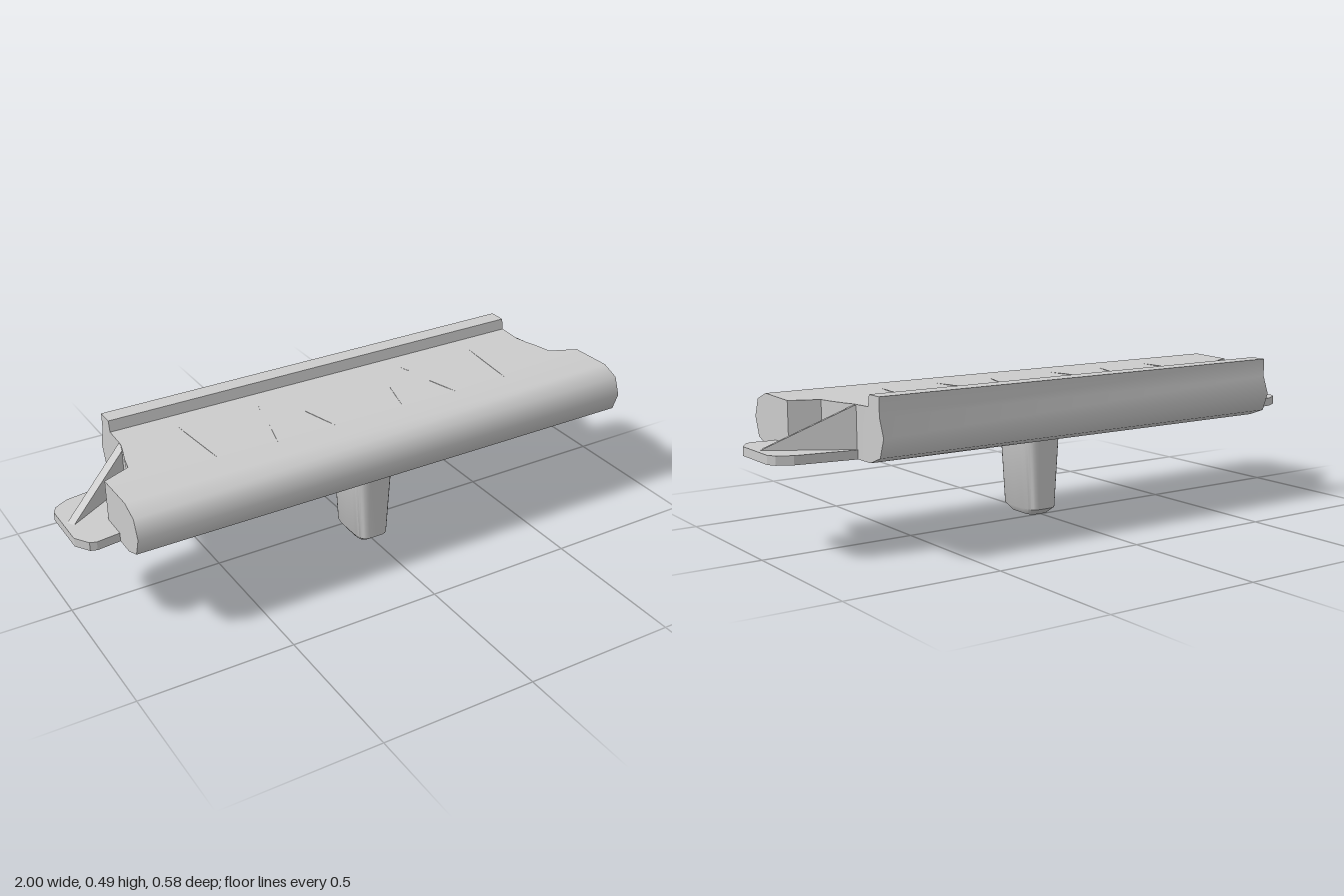
import * as THREE from 'three';
import { toCreasedNormals } from 'three/addons/utils/BufferGeometryUtils.js';

const mat = new THREE.MeshStandardMaterial({ color: 0xcccccc });

// Stations of the bar from front to back: [z, bottom y, top y, half width]
const STATIONS = [
  [0.29, 0.375, 0.375, 0.875], [0.268, 0.315, 0.433, 0.875], [0.21, 0.293, 0.456, 0.875],
  [0.06, 0.293, 0.452, 0.875], [0.02, 0.293, 0.452, 0.785], [-0.03, 0.293, 0.452, 0.775],
  [-0.08, 0.293, 0.452, 0.76], [-0.12, 0.293, 0.453, 0.75], [-0.203, 0.293, 0.456, 0.75],
  [-0.21, 0.293, 0.492, 0.75], [-0.268, 0.315, 0.492, 0.75], [-0.268, 0.315, 0.433, 0.75],
  [-0.29, 0.375, 0.375, 0.75],
];

function barGeometry() {
  const pos = [];
  const tri = (a, b, c) => {
    const t = new THREE.Triangle(a, b, c);
    if (t.getArea() > 1e-7) for (const p of [a, b, c]) pos.push(p.x, p.y, p.z);
  };
  const quad = (a, b, c, d) => { tri(a, b, c); tri(a, c, d); };
  const v = (x, y, z) => new THREE.Vector3(x, y, z);
  for (let i = 0; i < STATIONS.length - 1; i++) {
    const [z0, b0, t0, w0] = STATIONS[i], [z1, b1, t1, w1] = STATIONS[i + 1];
    quad(v(-w0, t0, z0), v(w0, t0, z0), v(w1, t1, z1), v(-w1, t1, z1));
    quad(v(-w1, b1, z1), v(w1, b1, z1), v(w0, b0, z0), v(-w0, b0, z0));
    quad(v(w0, b0, z0), v(w1, b1, z1), v(w1, t1, z1), v(w0, t0, z0));
    quad(v(-w0, t0, z0), v(-w1, t1, z1), v(-w1, b1, z1), v(-w0, b0, z0));
  }
  const g = new THREE.BufferGeometry();
  g.setAttribute('position', new THREE.Float32BufferAttribute(pos, 3));
  return toCreasedNormals(g, 0.95);
}

// Tapered peg with a rounded-rectangle section; levels: [y, half x, half z]
function pegGeometry() {
  const levels = [[0, 0, 0], [0, 0.04, 0.062], [0.022, 0.056, 0.091], [0.3, 0.072, 0.101]];
  const g = new THREE.LatheGeometry(levels.map((l, i) => new THREE.Vector2(1, i)), 32);
  const p = g.attributes.position;
  const round = (c) => Math.sign(c) * Math.sqrt(Math.abs(c));
  for (let i = 0; i < p.count; i++) {
    const [y, hx, hz] = levels[Math.round(p.getY(i))];
    p.setXYZ(i, round(p.getX(i)) * hx, y, round(p.getZ(i)) * hz);
  }
  g.translate(0, 0, 0.064);
  return toCreasedNormals(g, 0.75);
}

// Flat mounting ear, drawn in plan
function earGeometry(s) {
  const plan = [[0.73, -0.137], [0.76, -0.137], [0.94, -0.11], [0.985, -0.085], [1, -0.06],
    [1, 0.105], [0.97, 0.15], [0.95, 0.157], [0.86, 0.145], [0.73, 0.1]];
  const shape = new THREE.Shape(plan.map(([x, z]) => new THREE.Vector2(s * x, z)));
  return new THREE.ExtrudeGeometry(shape, { depth: 0.028, bevelEnabled: false })
    .rotateX(Math.PI / 2).translate(0, 0.321, 0);
}

// Triangular brace running diagonally from the bar out over the ear
function braceGeometry(s) {
  const tri = new THREE.Shape([[0, 0.3], [0.285, 0.3], [0.285, 0.32], [0.01, 0.45], [0, 0.45]]
    .map(([u, y]) => new THREE.Vector2(u, y)));
  return new THREE.ExtrudeGeometry(tri, { depth: 0.026, bevelEnabled: false })
    .translate(0, 0, -0.013)
    .rotateY(Math.atan2(-0.15, s * 0.24))
    .translate(s * 0.74, 0, -0.123);
}

export function createModel() {
  const group = new THREE.Group();
  const add = (name, geometry) => {
    const mesh = new THREE.Mesh(geometry, mat);
    mesh.name = name;
    group.add(mesh);
    return mesh;
  };

  add('bar', barGeometry());
  add('peg', pegGeometry());

  // Fine score marks on the top: [x0, z0, x1, z1]
  const marks = [[0.555, -0.17, 0.53, 0.11], [0.265, -0.15, 0.28, -0.1],
    [0.3, 0, 0.33, 0.11], [0.16, -0.02, 0.12, 0.13]];

  for (const [side, s] of [['left', 1], ['right', -1]]) {
    add(side + 'Ear', earGeometry(s));
    add(side + 'Brace', braceGeometry(s));
    for (const [x0, z0, x1, z1] of marks) {
      const mark = add(side + 'ScoreMark',
        new THREE.BoxGeometry(0.003, 0.004, Math.hypot(x1 - x0, z1 - z0)));
      mark.position.set(s * (x0 + x1) / 2, 0.4515, (z0 + z1) / 2);
      mark.rotation.y = Math.atan2(s * (x1 - x0), z1 - z0);
    }
  }
  return group;
}
